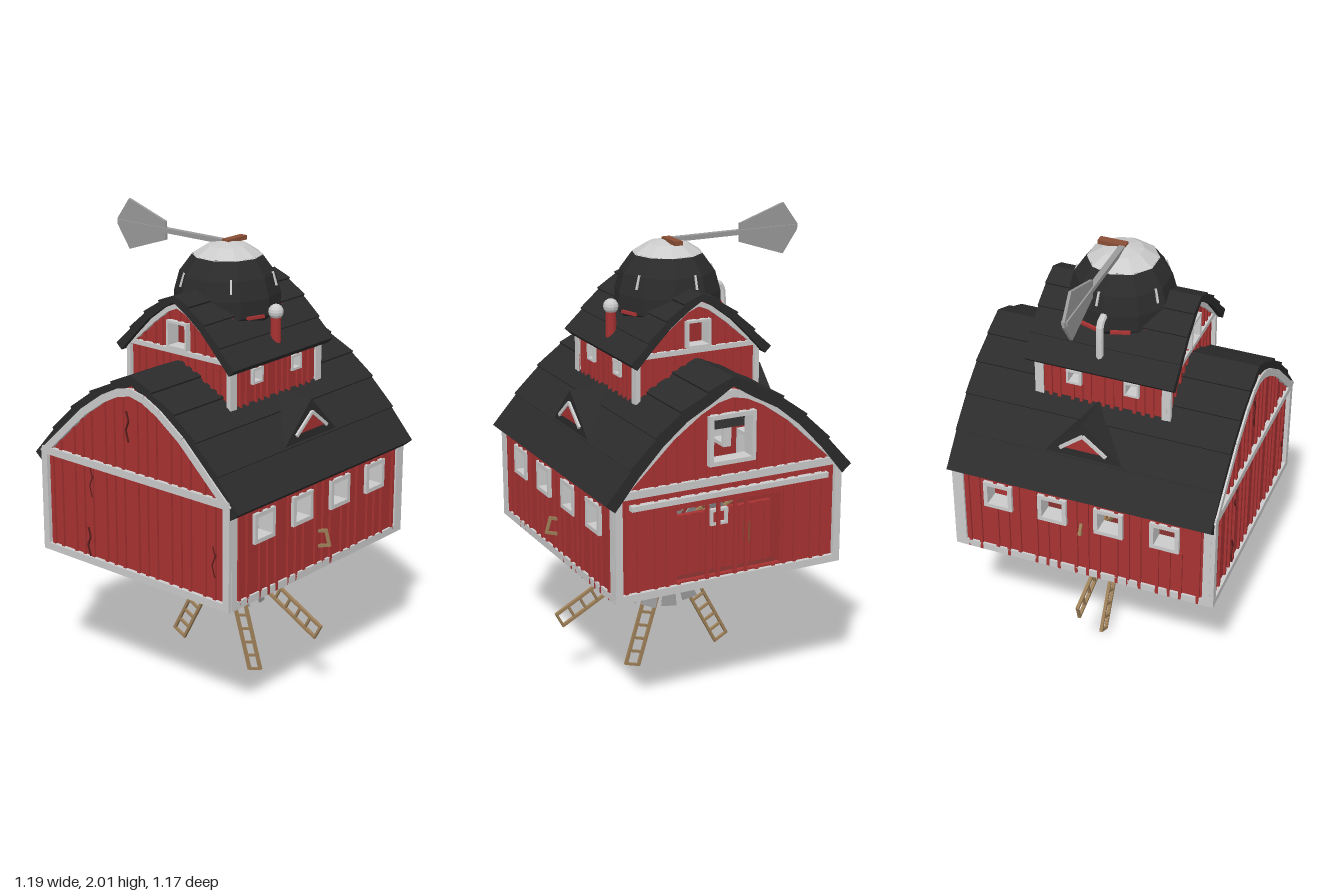
import * as THREE from 'three';

const paint = (color, side = THREE.FrontSide) => new THREE.MeshStandardMaterial({ color, side, flatShading: true });
const RED = paint(0xa83232), DARK_RED = paint(0x7a2c2a), ROOF = paint(0x2b2b2b), TRIM = paint(0xcccccc);
const WOOD = paint(0x9c7f58), BROWN = paint(0x8a4f35), STEEL = paint(0x9a9a9a, THREE.DoubleSide), CRACK = paint(0x5a1f1c);

function add(parent, name, geo, mat, x = 0, y = 0, z = 0) {
  const m = new THREE.Mesh(geo, mat);
  m.name = name;
  m.position.set(x, y, z);
  parent.add(m);
  return m;
}
const box = (p, name, mat, w, h, d, x, y, z) => add(p, name, new THREE.BoxGeometry(w, h, d), mat, x, y, z);

// Bar between two points of an x-y plane
function beam(p, name, mat, a, b, width, depth, z) {
  const dx = b[0] - a[0], dy = b[1] - a[1];
  const m = box(p, name, mat, Math.hypot(dx, dy), width, depth, (a[0] + b[0]) / 2, (a[1] + b[1]) / 2, z);
  m.rotation.z = Math.atan2(dy, dx);
  return m;
}
const polygon = pts => new THREE.Shape(pts.map(q => new THREE.Vector2(q[0], q[1])));
// A hole or opening is [centre u, centre v, width, height]
const rect = ([u, v, w, h]) => [[u - w / 2, v - h / 2], [u + w / 2, v - h / 2], [u + w / 2, v + h / 2], [u - w / 2, v + h / 2]];
function slab(pts, depth, holes = []) {
  const s = polygon(pts);
  holes.forEach(h => s.holes.push(polygon(rect(h))));
  return new THREE.ExtrudeGeometry(s, { depth, bevelEnabled: false });
}
// Window frame on the wall face z = 0, reaching slightly out and further in
function windowFrame(p, [u, v, w, h], out, inside, t) {
  add(p, 'windowFrame', slab(rect([u, v, w, h]), out + inside, [[u, v, w - 2 * t, h - 2 * t]]), TRIM, 0, 0, -inside);
}
// Vertical battens, interrupted by openings
function battens(p, from, to, step, y0, topAt, openings) {
  for (let u = from, i = 0; u < to; u += step * (i++ % 3 === 1 ? 1.3 : 0.85)) {
    const o = openings.find(q => Math.abs(q[0] - u) < q[2] / 2 + 0.008);
    const spans = o ? [[y0, o[1] - o[3] / 2], [o[1] + o[3] / 2, topAt(u)]] : [[y0, topAt(u)]];
    spans.forEach(([a, b]) => { if (b - a > 0.01) box(p, 'batten', RED, 0.014, b - a, 0.012, u, (a + b) / 2, 0.004); });
  }
}

function barn(c) {
  const g = new THREE.Group();
  g.name = c.name;
  const topAt = x => {
    const a = Math.abs(x), i = Math.max(1, c.gable.findIndex(q => q[0] >= a));
    const [p, q] = [c.gable[i - 1], c.gable[i]];
    return p[1] + (q[1] - p[1]) * (a - p[0]) / (q[0] - p[0]);
  };
  const arch = [...c.gable.slice(1).reverse().map(([x, y]) => [-x, y]), ...c.gable];
  const outline = [[-c.w, c.y0], ...arch, [c.w, c.y0]];
  // Gable ends: each is built facing +z, the back one turned round
  [[c.zf, 0, c.front], [c.zb, Math.PI, c.back]].forEach(([z, turn, openings], i) => {
    const end = new THREE.Group();
    end.name = i ? 'backGable' : 'frontGable';
    end.position.z = z;
    end.rotation.y = turn;
    g.add(end);
    add(end, 'gableWall', slab(outline, 0.02, openings), RED, 0, 0, -0.02);
    battens(end, -c.w + 0.05, c.w - 0.03, c.step, c.y0, topAt, openings);
    for (let k = 0; k + 1 < arch.length; k++)
      beam(end, 'gableTrim', TRIM, [arch[k][0], arch[k][1] - c.t * 0.6], [arch[k + 1][0], arch[k + 1][1] - c.t * 0.6], c.t, 0.03, 0.003);
    box(end, 'crossTrim', TRIM, 2 * c.w, c.t, 0.03, 0, c.y1 + 0.03, 0.003);
    box(end, 'baseTrim', TRIM, 2 * c.w, c.t, 0.03, 0, c.y0 + c.t / 2, 0.003);
    for (const s of [-1, 1]) box(end, 'cornerTrim', TRIM, c.t, c.y1 + 0.04 - c.y0, 0.036, s * (c.w - c.t / 2 + 0.004), (c.y0 + c.y1 + 0.04) / 2, 0);
    openings.filter(o => !o[4]).forEach(o => windowFrame(end, o, 0.025, 0.04, c.ft));
  });
  // Long sides with windows
  const mid = (c.zf + c.zb) / 2, half = (c.zf - c.zb) / 2;
  for (const s of [-1, 1]) {
    const side = new THREE.Group();
    side.name = s > 0 ? 'leftWall' : 'rightWall';
    side.position.set(s * (c.w - 0.005), 0, mid);
    side.rotation.y = s * Math.PI / 2;
    g.add(side);
    const wins = c.windows.map(z => [-s * (z - mid), c.winY, c.win, c.win]);
    const H = c.y1 + 0.03 - c.y0;
    add(side, 'sideWall', slab(rect([0, c.y0 + H / 2, 2 * half, H]), 0.02, wins), RED, 0, 0, -0.02);
    battens(side, -half + 0.05, half - 0.03, c.step, c.y0, () => c.y1 + 0.02, wins);
    wins.forEach(o => windowFrame(side, o, 0.015, 0.06, c.ft));
    box(side, 'baseTrim', TRIM, 2 * half, c.t, 0.02, 0, c.y0 + c.t / 2, 0);
    for (const e of [-1, 1]) box(side, 'cornerTrim', TRIM, c.t, H, 0.02, e * (half - c.t / 2), c.y0 + H / 2, 0);
    // Overlapping roof boards
    for (let i = 0; i + 1 < c.roof.length; i++) {
      const [a, b] = [c.roof[i], c.roof[i + 1]], L = Math.hypot(b[0] - a[0], b[1] - a[1]);
      const n = [(a[1] - b[1]) / L, (b[0] - a[0]) / L];
      const off = (p, d) => [s * Math.max(0, p[0] + n[0] * d), p[1] + n[1] * d];
      add(g, 'roofBoard', slab([off(a, 0), off(b, 0.009), off(b, -c.thick), off(a, -c.thick)], c.roofZ[1] - c.roofZ[0]), ROOF, 0, 0, c.roofZ[0]);
    }
  }
  return g;
}

function dormer(s) {
  const g = new THREE.Group();
  g.name = s > 0 ? 'leftDormer' : 'rightDormer';
  g.rotation.y = s * Math.PI / 2;
  g.position.z = -0.01;
  add(g, 'dormerRoof', slab([[-0.2, 1.11], [0.2, 1.11], [0, 1.31]], 0.35), ROOF, 0, 0, 0.1);
  add(g, 'dormerPanel', slab([[-0.09, 1.18], [0.09, 1.18], [0, 1.25]], 0.01), RED, 0, 0, 0.445);
  for (const e of [-1, 1]) beam(g, 'dormerTrim', TRIM, [e * 0.1, 1.175], [0, 1.255], 0.014, 0.02, 0.45);
  return g;
}

function turret() {
  const g = new THREE.Group();
  g.name = 'turret';
  g.position.z = -0.01;
  const lathe = pts => new THREE.LatheGeometry(pts.map(p => new THREE.Vector2(...p)), 10, Math.PI / 10);
  add(g, 'turretWall', new THREE.CylinderGeometry(0.19, 0.19, 0.16, 10), RED, 0, 1.55, 0);
  add(g, 'dome', lathe([[0, 1.57], [0.18, 1.57], [0.225, 1.62], [0.222, 1.69], [0.2, 1.77], [0.145, 1.845]]), ROOF);
  add(g, 'domeCap', lathe([[0.148, 1.843], [0.085, 1.883], [0, 1.9]]), TRIM);
  for (let i = 0; i < 10; i++) {
    const a = i * Math.PI / 5, rib = new THREE.Group();
    rib.name = 'domeRib';
    rib.rotation.y = a;
    g.add(rib);
    box(rib, 'redSill', RED, 0.08, 0.012, 0.03, 0, 1.622, 0.212);
    if (i % 2) box(rib, 'ventSlit', TRIM, 0.008, 0.06, 0.008, 0.03, 1.75, 0.198).rotation.x = -0.3;
  }
  // Wind vane
  box(g, 'vaneArm', STEEL, 0.6, 0.02, 0.025, -0.31, 1.892, 0);
  const tail = [[-0.62, 1.905], [-0.62, 1.88], [-0.55, 1.78], [-0.34, 1.85], [-0.34, 1.93], [-0.55, 2.0]];
  add(g, 'vaneTail', slab(tail, 0.012), STEEL, 0, 0, -0.006);
  box(g, 'vaneBlock', BROWN, 0.035, 0.018, 0.12, 0, 1.896, -0.045);
  // Chimney and bent stovepipe
  add(g, 'chimney', new THREE.CylinderGeometry(0.022, 0.022, 0.13, 12), RED, 0.26, 1.575, 0);
  add(g, 'chimneyCap', new THREE.SphereGeometry(0.032, 12, 8), TRIM, 0.26, 1.642, 0);
  const path = new THREE.CatmullRomCurve3([[-0.26, 1.5], [-0.26, 1.63], [-0.25, 1.675], [-0.19, 1.69]].map(([x, y]) => new THREE.Vector3(x, y, 0)));
  add(g, 'stovepipe', new THREE.TubeGeometry(path, 12, 0.016, 8), TRIM);
  return g;
}

function windmill() {
  const g = new THREE.Group();
  g.name = 'windmill';
  g.position.y = 0.56;
  for (let i = 0; i < 8; i++) {
    const l = new THREE.Group();
    l.name = 'ladderSail';
    l.rotation.z = (17 + 45 * i) * Math.PI / 180;
    g.add(l);
    for (const s of [-1, 1]) box(l, 'rail', WOOD, 0.44, 0.012, 0.014, 0.365, s * 0.032, 0);
    for (let k = 0; k < 8; k++) box(l, 'rung', WOOD, 0.01, 0.06, 0.012, 0.15 + k * 0.0615, 0, 0);
  }
  const blade = slab([[0.12, -0.018], [0.3, -0.034], [0.3, 0.034], [0.12, 0.018]], 0.005);
  for (let i = 0; i < 18; i++) {
    const spoke = new THREE.Group();
    spoke.name = 'fanSpoke';
    spoke.rotation.z = (i + 0.5) * Math.PI / 9;
    g.add(spoke);
    add(spoke, 'fanBlade', blade, STEEL, 0, 0, -0.025).rotation.x = 0.35;
  }
  add(g, 'fanRing', new THREE.TorusGeometry(0.22, 0.005, 6, 36), BROWN, 0, 0, -0.02);
  add(g, 'hub', new THREE.SphereGeometry(0.05, 12, 8), BROWN, 0, 0, 0.015);
  box(g, 'hubPanel', TRIM, 0.28, 0.15, 0.012, 0, -0.055, 0.012);
  return g;
}

export function createModel() {
  const root = new THREE.Group();
  root.name = 'windmillBarn';
  const g = new THREE.Group();
  g.name = 'building';
  g.position.x = 0.02;
  root.add(g);

  const lower = barn({
    name: 'lowerBarn', w: 0.515, y0: 0.58, y1: 1.0, zf: 0.57, zb: -0.56, t: 0.032, step: 0.06, ft: 0.018, thick: 0.045,
    gable: [[0, 1.405], [0.07, 1.39], [0.15, 1.35], [0.27, 1.265], [0.515, 1.035]],
    roof: [[0, 1.455], [0.11, 1.40], [0.23, 1.335], [0.34, 1.245], [0.45, 1.13], [0.555, 1.0]], roofZ: [-0.58, 0.58],
    front: [], back: [[0, 1.2, 0.21, 0.21], [0, 0.775, 0.48, 0.31, true]],
    windows: [0.37, 0.125, -0.125, -0.37], winY: 0.89, win: 0.128,
  });
  g.add(lower);
  box(lower, 'floor', DARK_RED, 1.02, 0.03, 1.13, 0, 0.595, 0.005);
  box(lower, 'floorPlate', STEEL, 0.22, 0.008, 0.27, 0.39, 0.577, -0.08);
  add(lower, 'floorRing', new THREE.TorusGeometry(0.2, 0.005, 4, 32), CRACK, 0, 0.58, -0.07).rotation.x = Math.PI / 2;

  // Recessed double doors under a sliding rail
  const doors = new THREE.Group();
  doors.name = 'backDoors';
  lower.add(doors);
  for (const s of [-1, 1]) {
    box(doors, 'door', RED, 0.236, 0.26, 0.02, s * 0.12, 0.74, -0.47);
    for (let i = 0; i < 4; i++) box(doors, 'doorBatten', RED, 0.012, 0.26, 0.01, s * (0.03 + i * 0.06), 0.74, -0.484);
    box(doors, 'doorJamb', RED, 0.012, 0.31, 0.1, s * 0.245, 0.775, -0.505);
  }
  box(doors, 'doorHandle', BROWN, 0.02, 0.09, 0.02, -0.12, 0.75, -0.49);
  const hatch = new THREE.Group();
  hatch.name = 'doorHatch';
  hatch.position.z = -0.485;
  hatch.rotation.y = Math.PI;
  doors.add(hatch);
  windowFrame(hatch, [-0.01, 0.84, 0.08, 0.07], 0.01, 0.01, 0.012);
  box(doors, 'doorRail', TRIM, 0.9, 0.022, 0.03, 0, 0.975, -0.572);

  // Weathered cracks on the front
  [[-0.24, 0.95], [-0.03, 1.24], [0.43, 0.78], [-0.26, 0.68]].forEach(([x, y]) => {
    const pts = [[x, y + 0.06], [x + 0.012, y + 0.02], [x - 0.004, y - 0.02], [x + 0.01, y - 0.07]];
    for (let i = 0; i < 3; i++) beam(lower, 'crack', CRACK, pts[i], pts[i + 1], 0.006, 0.006, 0.578);
  });

  g.add(barn({
    name: 'upperBarn', w: 0.28, y0: 1.22, y1: 1.46, zf: 0.285, zb: -0.27, t: 0.02, step: 0.045, ft: 0.01, thick: 0.03,
    gable: [[0, 1.695], [0.05, 1.675], [0.13, 1.615], [0.28, 1.485]],
    roof: [[0, 1.73], [0.08, 1.69], [0.16, 1.63], [0.24, 1.55], [0.315, 1.47]], roofZ: [-0.32, 0.325],
    front: [[0, 1.56, 0.11, 0.115]], back: [[0, 1.56, 0.11, 0.115]],
    windows: [0.135, -0.115], winY: 1.41, win: 0.066,
  }));
  g.add(dormer(1), dormer(-1), turret(), windmill());
  return root;
}
